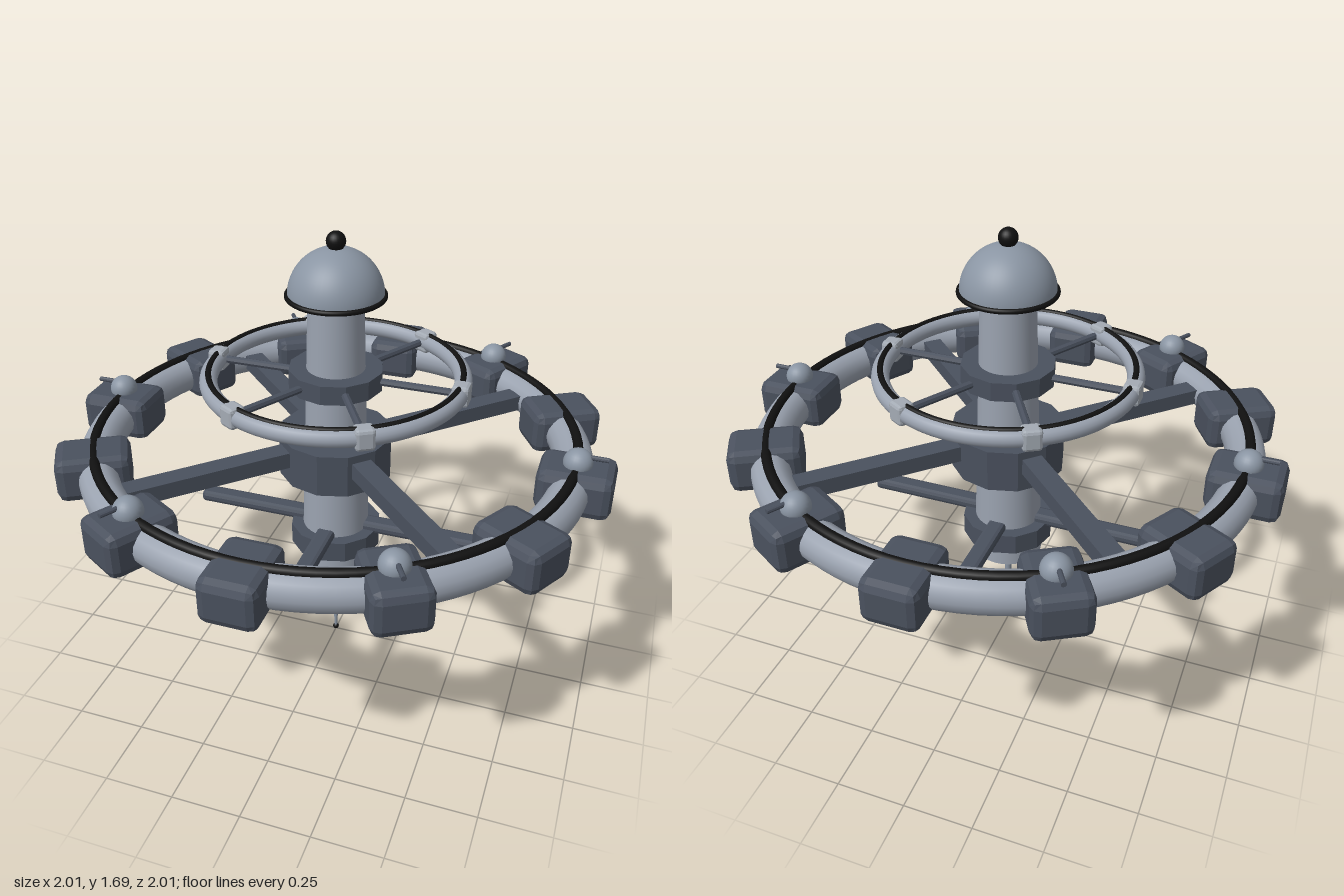
import * as THREE from 'three';
import { RoundedBoxGeometry } from 'three/addons/geometries/RoundedBoxGeometry.js';

const mat = (color, flatShading = false) => new THREE.MeshStandardMaterial({ color, flatShading });

export function createModel() {
  const station = new THREE.Group();
  station.name = 'spaceStation';

  const hull = mat(0x9aa2af);
  const domeGrey = mat(0x8a95a3);
  const clampGrey = mat(0xa4abb4, true);
  const dark = mat(0x4a515e, true);
  const black = mat(0x101010);

  const add = (name, geometry, material, x = 0, y = 0, z = 0, parent = station) => {
    const mesh = new THREE.Mesh(geometry, material);
    mesh.name = name;
    mesh.position.set(x, y, z);
    parent.add(mesh);
    return mesh;
  };
  const ring = (name, radius, tube, y, material) =>
    add(name, new THREE.TorusGeometry(radius, tube, 16, 96).rotateX(Math.PI / 2), material, 0, y);
  // Groups turned about the vertical axis; each one's +x points outward
  const around = (name, count, offset, build) => {
    for (let i = 0; i < count; i++) {
      const arm = new THREE.Group();
      arm.name = name;
      arm.rotation.y = offset + (i * Math.PI * 2) / count;
      station.add(arm);
      build(arm, i);
    }
  };

  // Central tower
  add('core', new THREE.CylinderGeometry(0.097, 0.13, 1.085, 48), hull, 0, 0.9275);
  add('lowerCollar', new THREE.CylinderGeometry(0.172, 0.172, 0.08, 12), dark, 0, 0.51);
  add('mainHub', new THREE.CylinderGeometry(0.21, 0.21, 0.16, 12), dark, 0, 0.865);
  add('upperHub', new THREE.CylinderGeometry(0.17, 0.17, 0.07, 12), dark, 0, 1.165);

  // Command dome
  add('dome', new THREE.SphereGeometry(0.167, 48, 20, 0, Math.PI * 2, 0, Math.PI / 2), domeGrey, 0, 1.467);
  add('domeFloor', new THREE.CircleGeometry(0.167, 48).rotateX(Math.PI / 2), domeGrey, 0, 1.467);
  ring('domeRim', 0.168, 0.009, 1.468, black);
  add('beacon', new THREE.SphereGeometry(0.034, 24, 16), black, 0, 1.656);

  // Antenna under the tower
  add('antenna', new THREE.CylinderGeometry(0.016, 0.006, 0.375, 12), domeGrey, 0, 0.2);
  add('antennaTip', new THREE.SphereGeometry(0.012, 12, 8), black, 0, 0.014);

  // Main habitat ring and its diagonal spokes
  ring('habitatRing', 0.86, 0.07, 0.885, hull);
  ring('habitatStripe', 0.868, 0.018, 0.951, black);
  around('mainSpoke', 4, Math.PI / 4, (arm) => {
    add('spokeBeam', new THREE.BoxGeometry(0.68, 0.06, 0.075), dark, 0.49, 0.885, 0, arm);
  });

  // Twelve habitat modules, every second one carrying a turret
  const moduleGeometry = new RoundedBoxGeometry(0.262, 0.16, 0.198, 1, 0.032);
  around('moduleStation', 12, 0, (arm, i) => {
    add('module', moduleGeometry, dark, 0.872, 0.885, 0, arm);
    if (i % 2) return;
    add('turret', new THREE.SphereGeometry(0.051, 24, 16), domeGrey, 0.87, 0.973, 0, arm);
    add('turretBarrel', new THREE.CylinderGeometry(0.009, 0.009, 0.1, 10).rotateZ(Math.PI / 2),
      dark, 0.92, 0.998, 0, arm);
  });

  // Upper ring with clamps and thin spokes
  ring('upperRing', 0.45, 0.032, 1.165, hull);
  ring('upperStripe', 0.449, 0.011, 1.192, black);
  around('upperSpoke', 6, 0, (arm) => {
    add('upperSpokeRod', new THREE.CylinderGeometry(0.014, 0.014, 0.36, 8).rotateZ(Math.PI / 2),
      dark, 0.28, 1.165, 0, arm);
    add('clamp', new RoundedBoxGeometry(0.062, 0.076, 0.068, 1, 0.012), clampGrey, 0.453, 1.165, 0, arm);
  });

  // Docking arms with marker lights
  around('dockingArm', 4, 0, (arm) => {
    add('armBeam', new RoundedBoxGeometry(0.46, 0.044, 0.068, 1, 0.015), dark, 0.325, 0.557, 0, arm);
    add('armLight', new THREE.SphereGeometry(0.011, 12, 8), black, 0.556, 0.584, 0, arm);
  });

  return station;
}
